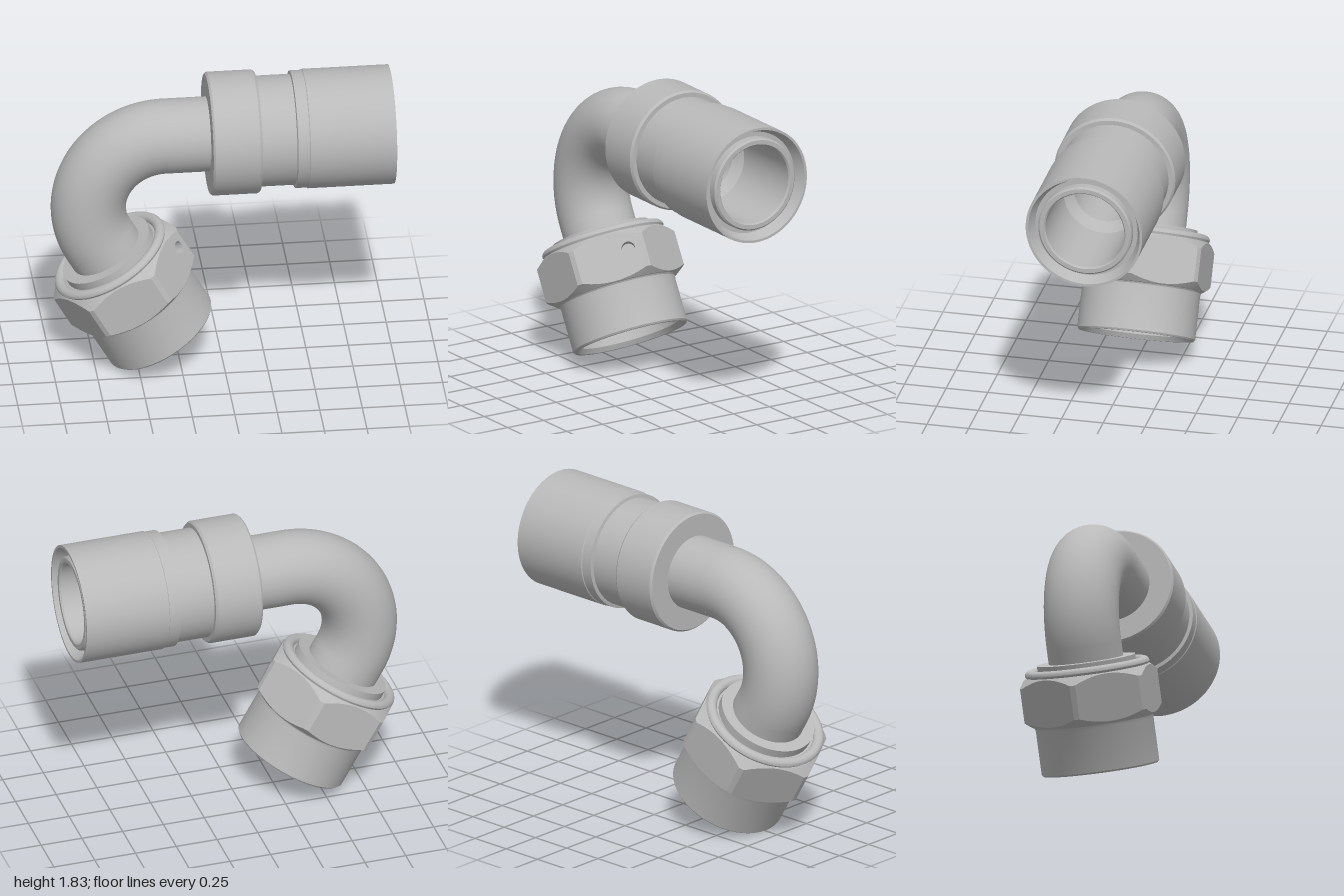
import * as THREE from 'three';
import { toCreasedNormals } from 'three/addons/utils/BufferGeometryUtils.js';

const BEND_R = 0.445, BEND_X = -0.335, AXIS_Y = 1.48;
const FLAT = 0.37, CORNER = 0.418;   // hex nut: flat distance and rounded corner radius
const NUT_TOP = 0.15, NUT_END = 0.44, NUT_RIM = 0.364;

export function createModel() {
  const steel = new THREE.MeshStandardMaterial({ color: 0xb9b9b9, side: THREE.DoubleSide });
  steel.name = 'steel grey';

  const model = new THREE.Group();
  model.name = 'elbowHoseFitting';

  const add = (parent, name, geometry) => {
    const mesh = new THREE.Mesh(geometry, steel);
    mesh.name = name;
    parent.add(mesh);
    return mesh;
  };
  // Turned part from [radius, distance along axis] pairs
  const turned = (parent, name, profile, segments = 96) => add(parent, name,
    toCreasedNormals(new THREE.LatheGeometry(profile.map(p => new THREE.Vector2(...p)), segments), 0.5));

  // Bent pipe, outside and bore
  const bendGroup = new THREE.Group();
  bendGroup.name = 'pipeBend';
  bendGroup.position.set(BEND_X, AXIS_Y - BEND_R, 0);
  bendGroup.rotation.z = Math.PI / 2;
  model.add(bendGroup);
  for (const [name, r] of [['bendOutside', 0.22], ['bendBore', 0.185]])
    add(bendGroup, name, new THREE.TorusGeometry(BEND_R, r, 48, 72, Math.PI * 2 / 3));

  // Horizontal hose end, axis along +x
  const hoseEnd = new THREE.Group();
  hoseEnd.name = 'hoseEnd';
  hoseEnd.position.y = AXIS_Y;
  hoseEnd.rotation.z = -Math.PI / 2;
  model.add(hoseEnd);
  turned(hoseEnd, 'straightPipe', [[0.22, BEND_X], [0.22, -0.08]]);
  turned(hoseEnd, 'collar', [
    [0.22, -0.08], [0.352, -0.08], [0.363, -0.068], [0.363, 0.196], [0.352, 0.21], [0.325, 0.21]]);
  turned(hoseEnd, 'sleeve', [
    [0.325, 0.21], [0.325, 0.416], [0.345, 0.42], [0.345, 0.488], [0.35, 0.492],
    [0.35, 1], [0.335, 1], [0.307, 0.93], [0.28, 0.93]]);
  turned(hoseEnd, 'innerNipple', [
    [0.28, 0.93], [0.28, 0.975], [0.27, 0.985], [0.245, 0.985], [0.237, 0.975],
    [0.237, 0.5], [0.185, 0.45], [0.185, BEND_X]]);

  // Swivel end, local y runs down the pipe from the end of the bend
  const swivel = new THREE.Group();
  swivel.name = 'swivelEnd';
  const a = Math.PI * 7 / 6;
  swivel.position.set(BEND_X + BEND_R * Math.cos(a), AXIS_Y - BEND_R + BEND_R * Math.sin(a), 0);
  swivel.rotation.z = -Math.PI * 5 / 6;
  model.add(swivel);
  turned(swivel, 'pipeStub', [[0.22, 0], [0.22, 0.086]]);
  turned(swivel, 'pipeCollar', [[0.22, 0.086], [0.29, 0.086], [0.29, 0.137]]);
  const lip = [[0.29, 0.137], [0.302, 0.137]];
  for (let i = 0; i <= 12; i++) {
    const t = Math.PI * (1 - i / 12);
    lip.push([0.336 + 0.032 * Math.cos(t), 0.137 - 0.03 * Math.sin(t)]);
  }
  lip.push([0.36, NUT_TOP], [NUT_RIM, NUT_TOP]);
  turned(swivel, 'retainingLip', lip);
  turned(swivel, 'nutSkirt', [
    [NUT_RIM, NUT_END], [0.357, 0.442], [0.35, 0.45], [0.347, 0.468], [0.347, 0.722], [0.339, 0.732],
    [0.32, 0.732], [0.297, 0.705], [0.297, 0.39], [0.27, 0.385], [0.2, 0.38], [0.185, 0.35], [0.185, 0]]);

  // Hex nut with cone-chamfered ends; one flat is left open for the drilled face
  const capAngle = Math.acos(FLAT / CORNER), STEPS = 16, DRILLED = 2;
  const topEdge = r => NUT_TOP + (r - NUT_RIM) * 0.9;
  const endEdge = r => NUT_END - (r - NUT_RIM) * 0.75;
  const positions = [], index = [];
  for (let side = 0; side < 6; side++) {
    for (let i = 0; i <= STEPS; i++) {
      const off = capAngle * (2 * i / STEPS - 1);
      const theta = Math.PI / 6 + side * Math.PI / 3 + off;
      const r = FLAT / Math.cos(off);
      for (const [radius, y] of [[NUT_RIM, NUT_TOP], [r, topEdge(r)], [r, endEdge(r)], [NUT_RIM, NUT_END]])
        positions.push(radius * Math.cos(theta), y, radius * Math.sin(theta));
    }
  }
  const columns = 6 * (STEPS + 1);
  for (let c = 0; c < columns; c++) {
    const n = (c + 1) % columns;
    const onDrilledFlat = Math.floor(c / (STEPS + 1)) === DRILLED && c % (STEPS + 1) < STEPS;
    for (let k = 0; k < 3; k++) {
      if (k === 1 && onDrilledFlat) continue;
      const p = c * 4 + k, q = n * 4 + k;
      index.push(p, p + 1, q, q, p + 1, q + 1);
    }
  }
  const nut = new THREE.BufferGeometry();
  nut.setAttribute('position', new THREE.Float32BufferAttribute(positions, 3));
  nut.setIndex(index);
  add(swivel, 'hexNut', toCreasedNormals(nut, 0.3));

  // Drilled flat with its blind wire hole
  const HOLE_U = -0.121, HOLE_V = 0.27, HOLE_R = 0.04;
  const outline = [];
  for (const [edge, dir] of [[endEdge, -1], [topEdge, 1]])
    for (let i = 0; i <= STEPS; i++) {
      const off = dir * capAngle * (2 * i / STEPS - 1);
      outline.push(new THREE.Vector2(FLAT * Math.tan(off), edge(FLAT / Math.cos(off))));
    }
  const face = new THREE.Shape(outline);
  face.holes.push(new THREE.Path().absarc(HOLE_U, HOLE_V, HOLE_R, 0, Math.PI * 2, true));
  const drilled = new THREE.Group();
  drilled.name = 'drilledFlat';
  const theta = Math.PI / 6 + DRILLED * Math.PI / 3;
  const normal = new THREE.Vector3(Math.cos(theta), 0, Math.sin(theta));
  drilled.position.copy(normal).multiplyScalar(FLAT);
  drilled.rotation.y = Math.atan2(normal.x, normal.z);
  swivel.add(drilled);
  add(drilled, 'nutFlat', new THREE.ShapeGeometry(face, 24));
  const hole = turned(drilled, 'wireHole', [[HOLE_R, 0], [HOLE_R, -0.09], [0, -0.09]], 48);
  hole.rotation.x = Math.PI / 2;
  hole.position.set(HOLE_U, HOLE_V, 0);

  return model;
}
